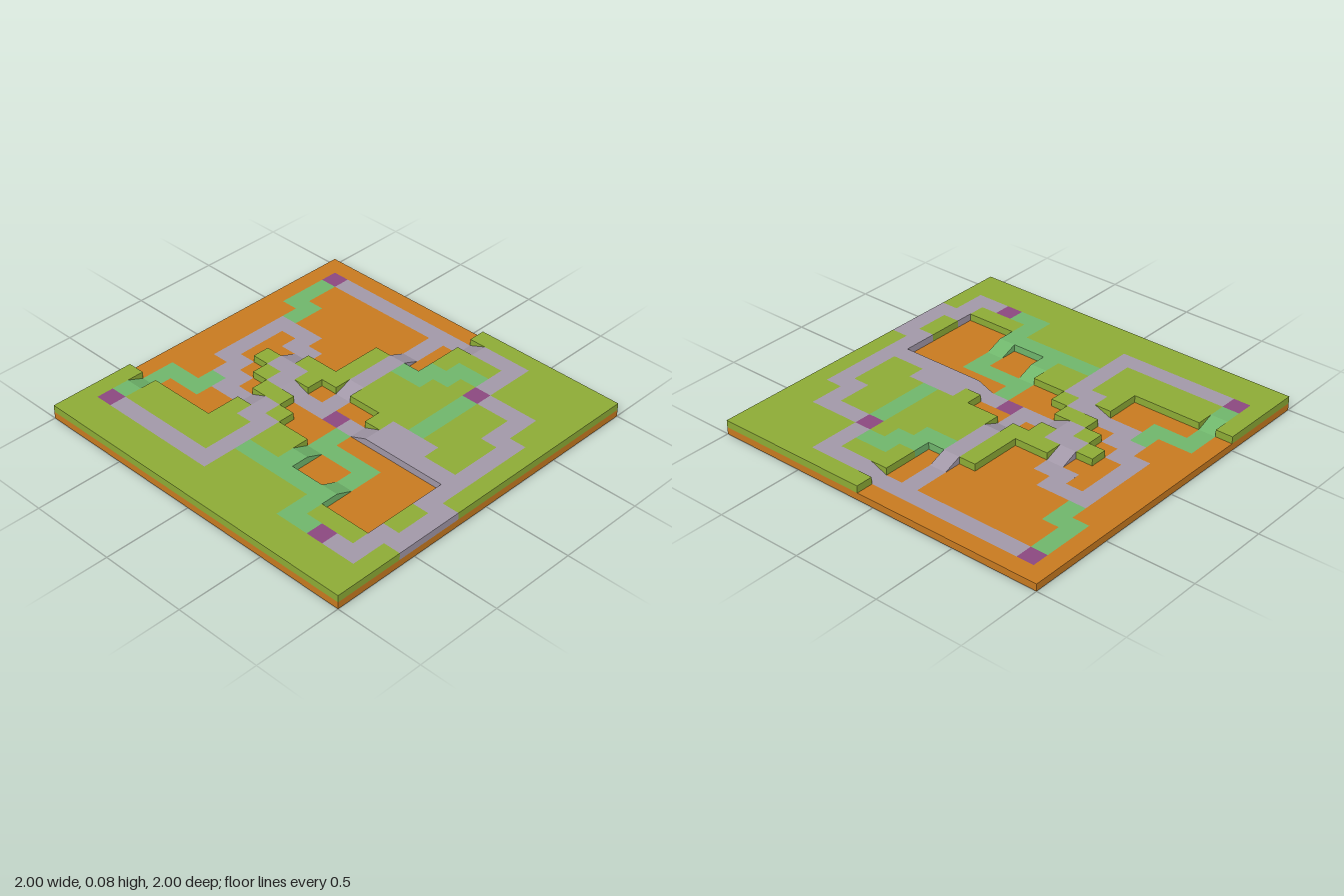
import * as THREE from 'three';
import { mergeGeometries } from 'three/addons/utils/BufferGeometryUtils.js';

const CELL = 0.1, STEP = 0.04;

// Tile plan, back row first. Capitals are raised tiles, small letters low ones:
// g grass, o earth, p path, t trail, v marker, / ramp
const PLAN = [
  'GGGGGooooooooooooooo',
  'GGVT/ttooooooootttvo',
  'GGPGGotoopppppttoopo',
  'GGPGGottppooopoooopo',
  'GGPGGooppoGoppoooopo',
  'GGPGGoopoGP/pooooopo',
  'GGPGGGG/GPPGoooooopo',
  'GGPGGGPPG/GGoooooopo',
  'GGPPPPPGopoGGGGooopo',
  'GGGGTGGoopp/PPP/pppo',
  'GGGGTGGoovoGGGTooopo',
  'GGGGTT/ttpoGGGTTGG/G',
  'GGGGTooto/GGGGGTTGPG',
  'GGGGTootoPPGGGGGTGPG',
  'GGTTT/ttoPPTTTTVPPPG',
  'GGTGoooooPPGGGGPGGGG',
  'GGVGoooooPGGGGGPGGGG',
  'GGPGoooooPGGGPPPGGGG',
  'GGPPPGGPPPPPPPGGGGGG',
  'GGGGPPPPGGGGGGGGGGGG',
];

// Column, row, kind, turn (0 descends to +x, 1 to -z, 2 to -x, 3 to +z)
const RAMPS = [
  [4, 1, 't', 0], [11, 5, 'p', 0], [7, 6, 'p', 1], [9, 7, 'p', 3], [11, 9, 'p', 2],
  [15, 9, 'p', 0], [6, 11, 't', 0], [18, 11, 'p', 1], [9, 12, 'p', 1], [5, 14, 't', 0],
];

function makeMaterial(name, color) {
  const m = new THREE.MeshStandardMaterial({ color });
  m.name = name;
  return m;
}

// One box per run of equal tiles in a row, merged per kind
function layerGeometries(kindOf, y) {
  const lists = {};
  PLAN.forEach((line, row) => {
    for (let c = 0; c < line.length;) {
      const kind = kindOf(line[c]);
      let end = c + 1;
      while (end < line.length && kindOf(line[end]) === kind) end++;
      if (kind) {
        const box = new THREE.BoxGeometry((end - c) * CELL, STEP, CELL);
        box.translate(-1 + (c + end) / 2 * CELL, y + STEP / 2, -1 + (row + 0.5) * CELL);
        (lists[kind] ??= []).push(box);
      }
      c = end;
    }
  });
  return lists;
}

export function createModel() {
  const model = new THREE.Group();
  model.name = 'terrainBoard';
  const materials = {
    g: makeMaterial('grass green', 0x8eac36),
    o: makeMaterial('earth orange', 0xc97b20),
    p: makeMaterial('path grey', 0xa298a8),
    t: makeMaterial('trail green', 0x70b66c),
    v: makeMaterial('marker purple', 0x8c4880),
  };
  const names = { g: 'Grass', o: 'Earth', p: 'Path', t: 'Trail', v: 'Markers' };
  const add = (name, geometry, kind) => {
    const mesh = new THREE.Mesh(geometry, materials[kind]);
    mesh.name = name;
    model.add(mesh);
    return mesh;
  };

  // Low slab: earth lies under everything raised
  const low = layerGeometries((ch) => ('ptv'.includes(ch) ? ch : 'o'), 0);
  for (const k in low) add('low' + names[k], mergeGeometries(low[k]), k);

  // Raised plateau
  const high = layerGeometries((ch) => ('GPTV'.includes(ch) ? ch.toLowerCase() : ''), STEP);
  for (const k in high) add('raised' + names[k], mergeGeometries(high[k]), k);

  // Wedge ramps joining the two levels
  const h = CELL / 2;
  const side = new THREE.Shape([
    new THREE.Vector2(-h, 0), new THREE.Vector2(h, 0), new THREE.Vector2(-h, STEP),
  ]);
  const wedge = new THREE.ExtrudeGeometry(side, { depth: CELL, bevelEnabled: false });
  wedge.translate(0, 0, -h);
  for (const [c, r, kind, turn] of RAMPS) {
    const ramp = add(kind === 'p' ? 'pathRamp' : 'trailRamp', wedge, kind);
    ramp.position.set(-1 + (c + 0.5) * CELL, STEP, -1 + (r + 0.5) * CELL);
    ramp.rotation.y = turn * Math.PI / 2;
  }
  return model;
}
